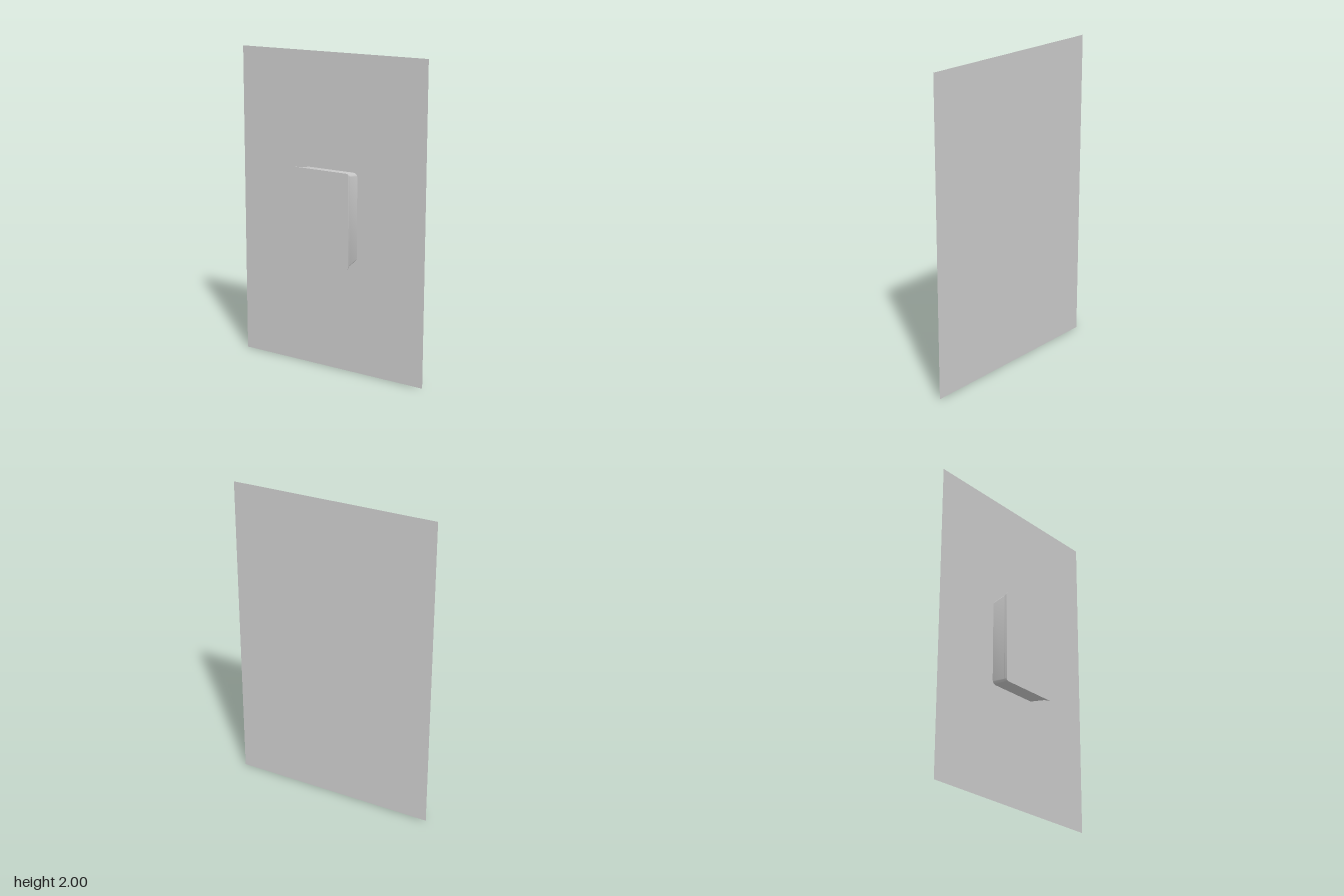
import * as THREE from 'three';
import { toCreasedNormals } from 'three/addons/utils/BufferGeometryUtils.js';

const CENTRE_Y = 1.002;

// Rounded rectangle outline, counter-clockwise seen from the front
function outline([z, halfW, halfH, radius], segments = 6) {
  const points = [];
  for (let corner = 0; corner < 4; corner++) {
    const sx = corner === 0 || corner === 3 ? 1 : -1;
    const sy = corner < 2 ? 1 : -1;
    for (let i = 0; i <= segments; i++) {
      const a = (corner + i / segments) * Math.PI / 2;
      points.push([
        sx * (halfW - radius) + radius * Math.cos(a),
        sy * (halfH - radius) + radius * Math.sin(a),
        z,
      ]);
    }
  }
  return points;
}

// Skin between cross-sections ordered back to front, capped at the front
function loft(sections) {
  const rings = sections.map((s) => outline(s));
  const n = rings[0].length;
  const positions = rings.flat(2);
  const index = [];
  for (let r = 0; r < rings.length - 1; r++) {
    for (let i = 0; i < n; i++) {
      const a = r * n + i, b = r * n + (i + 1) % n;
      index.push(a, b, b + n, a, b + n, a + n);
    }
  }
  const last = (rings.length - 1) * n;
  const centre = positions.length / 3;
  positions.push(0, 0, sections.at(-1)[0]);
  for (let i = 0; i < n; i++) index.push(centre, last + i, last + (i + 1) % n);
  const geometry = new THREE.BufferGeometry();
  geometry.setAttribute('position', new THREE.Float32BufferAttribute(positions, 3));
  geometry.setIndex(index);
  return toCreasedNormals(geometry, 0.6);
}

export function createModel() {
  const group = new THREE.Group();
  const material = new THREE.MeshStandardMaterial({ color: 0xcccccc, side: THREE.DoubleSide });

  const add = (name, geometry, y, z = 0) => {
    const mesh = new THREE.Mesh(geometry, material);
    mesh.name = name;
    mesh.position.set(0, y, z);
    group.add(mesh);
  };

  // Thin wall sheet behind the box
  add('wallPanel', new THREE.PlaneGeometry(1.333, 2), 1, -0.063);

  // Box body widening to the front: z, half width, half height, corner radius
  add('boxBody', loft([
    [-0.063, 0.19, 0.279, 0.028],
    [0.037, 0.201, 0.29, 0.02],
  ]), CENTRE_Y);

  // Flared rim between body and cover
  add('rim', loft([
    [0.037, 0.202, 0.291, 0.018],
    [0.056, 0.205, 0.295, 0.016],
  ]), CENTRE_Y);

  // Thin front cover overhanging the rim
  add('frontCover', loft([
    [0.056, 0.205, 0.295, 0.016],
    [0.058, 0.208, 0.298, 0.016],
    [0.063, 0.208, 0.298, 0.016],
  ]), CENTRE_Y);

  return group;
}
